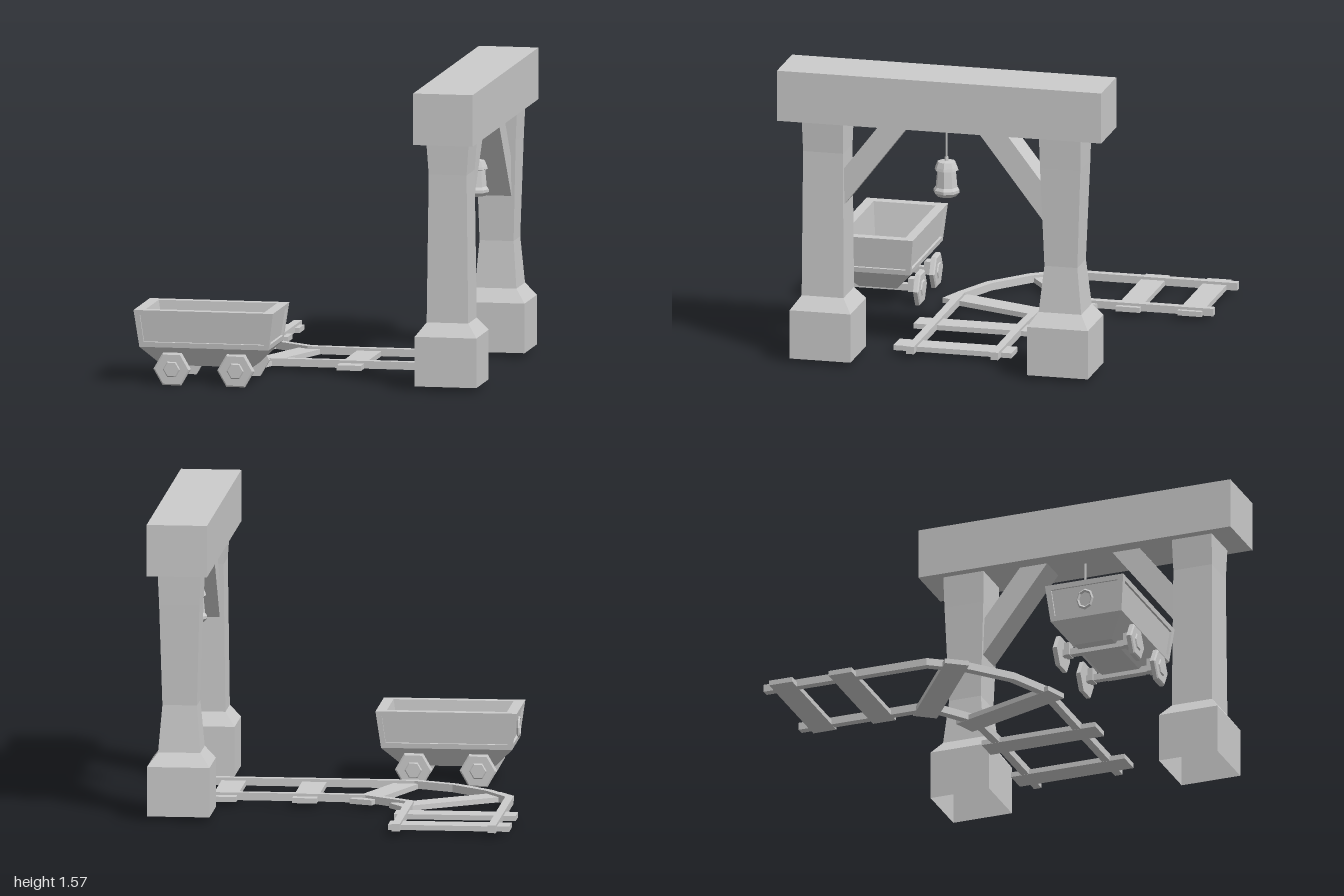
import * as THREE from 'three';

const mat = new THREE.MeshStandardMaterial({ color: 0xcccccc, flatShading: true });
const openMat = new THREE.MeshStandardMaterial({ color: 0xcccccc, flatShading: true, side: THREE.DoubleSide });

function add(parent, name, geo, x = 0, y = 0, z = 0, material = mat) {
  const m = new THREE.Mesh(geo, material);
  m.name = name;
  m.position.set(x, y, z);
  parent.add(m);
  return m;
}

const box = (w, h, d) => new THREE.BoxGeometry(w, h, d);

function quad(out, a, b, c, d) {
  for (const p of [a, b, c, a, c, d]) out.push(p.x, p.y, p.z);
}

// Quad with a framed, sunken panel
function panelQuad(out, a, b, c, d, margin, depth) {
  const u = margin / a.distanceTo(b), v = margin / a.distanceTo(d);
  const n = b.clone().sub(a).cross(d.clone().sub(a)).normalize();
  const at = (s, t) => a.clone().lerp(b, s).lerp(d.clone().lerp(c, s), t);
  const o = [a, b, c, d];
  const rim = [at(u, v), at(1 - u, v), at(1 - u, 1 - v), at(u, 1 - v)];
  const low = rim.map((p) => p.clone().addScaledVector(n, -depth));
  for (let i = 0; i < 4; i++) {
    const j = (i + 1) % 4;
    quad(out, o[i], o[j], rim[j], rim[i]);
    quad(out, rim[i], rim[j], low[j], low[i]);
  }
  quad(out, ...low);
}

// Loft through rectangles [y, x0, x1, z0, z1]; one layer may carry sunken panels
function loft(rings, { bottom = true, top = true, panelLayer = -1 } = {}) {
  const out = [];
  const loops = rings.map(([y, x0, x1, z0, z1]) =>
    [[x0, z0], [x0, z1], [x1, z1], [x1, z0]].map(([x, z]) => new THREE.Vector3(x, y, z)));
  for (let k = 0; k < loops.length - 1; k++) {
    const l = loops[k], u = loops[k + 1];
    for (let i = 0; i < 4; i++) {
      const j = (i + 1) % 4;
      if (k === panelLayer) panelQuad(out, l[i], l[j], u[j], u[i], 0.027, 0.012);
      else quad(out, l[i], l[j], u[j], u[i]);
    }
  }
  if (bottom) quad(out, ...[...loops[0]].reverse());
  if (top) quad(out, ...loops[loops.length - 1]);
  const geo = new THREE.BufferGeometry();
  geo.setAttribute('position', new THREE.Float32BufferAttribute(out, 3));
  geo.computeVertexNormals();
  return geo;
}

// Flat bar with mitred corners following a path of [x, z]
function railGeometry(path, width, height) {
  const pts = path.map(([x, z]) => new THREE.Vector2(x, -z));
  const left = [], right = [];
  pts.forEach((p, i) => {
    const a = p.clone().sub(pts[Math.max(i - 1, 0)]).normalize();
    const b = pts[Math.min(i + 1, pts.length - 1)].clone().sub(p).normalize();
    const t = a.clone().add(b).normalize();
    const n = new THREE.Vector2(-t.y, t.x);
    const ref = i === 0 ? b : a;
    const k = width / 2 / t.dot(ref);
    left.push(p.clone().addScaledVector(n, k));
    right.unshift(p.clone().addScaledVector(n, -k));
  });
  const geo = new THREE.ExtrudeGeometry(new THREE.Shape([...left, ...right]), { depth: height, bevelEnabled: false });
  return geo.rotateX(-Math.PI / 2);
}

function buildGantry() {
  const g = new THREE.Group();
  g.name = 'gantry';
  const cx = 0.793;
  add(g, 'crossBeam', box(0.315, 0.27, 1.735), cx, 1.435, 0.1325);

  // Pillars: [y, half width x, half width z], hollow underneath
  const foot = [[0.025, 0.163, 0.163], [0.285, 0.163, 0.163]];
  const shafts = [
    ['frontPillar', 0.768, [[0.355, 0.11, 0.112], [1.13, 0.1, 0.107], [1.31, 0.113, 0.111]]],
    ['backPillar', -0.502, [[0.355, 0.11, 0.114], [0.6, 0.09, 0.088], [1.13, 0.105, 0.108], [1.31, 0.113, 0.112]]],
  ];
  for (const [name, cz, shaft] of shafts) {
    const rings = [...foot, ...shaft].map(([y, hx, hz]) => [y, cx - hx, cx + hx, cz - hz, cz + hz]);
    add(g, name, loft(rings, { bottom: false }), 0, 0, 0, openMat);
  }

  // Diagonal braces, mirrored about the lantern
  for (const s of [1, -1]) {
    const brace = add(g, s > 0 ? 'frontBrace' : 'backBrace', box(0.16, 0.66, 0.12), cx, 1.125, 0.1325 + s * 0.392);
    brace.rotation.x = -s * Math.atan2(1, 1.3);
  }

  // Hanging lantern
  const lantern = new THREE.Group();
  lantern.name = 'lantern';
  lantern.position.set(cx, 0, 0.1325);
  g.add(lantern);
  add(lantern, 'lanternRope', new THREE.CylinderGeometry(0.006, 0.006, 0.22, 6), 0, 1.2, 0);
  const profile = [[0, 0.915], [0.05, 0.915], [0.069, 0.935], [0.069, 0.95], [0.058, 0.965], [0.05, 1.052],
    [0.064, 1.056], [0.06, 1.07], [0.048, 1.1], [0.012, 1.105], [0.01, 1.125], [0, 1.125]];
  add(lantern, 'lanternBody', new THREE.LatheGeometry(profile.map(([r, y]) => new THREE.Vector2(r, y)), 8));
  return g;
}

function buildTrack() {
  const g = new THREE.Group();
  g.name = 'track';
  const outer = [[-0.875, -1], [-0.875, -0.1], [-0.75, 0.08], [-0.555, 0.25], [-0.34, 0.345], [0.725, 0.345]];
  const inner = [[-0.375, -1], [-0.375, -0.285], [-0.135, -0.117], [0.12, -0.105], [0.725, -0.105]];
  add(g, 'outerRail', railGeometry(outer, 0.042, 0.04), 0, 0.026, 0);
  add(g, 'innerRail', railGeometry(inner, 0.042, 0.04), 0, 0.026, 0);

  // Sleepers: [x, z, turn, length]
  const sleepers = [
    [-0.645, -0.88, 0, 0.632], [-0.643, -0.55, 0, 0.635], [-0.577, -0.138, Math.atan2(75, 105), 0.67],
    [-0.214, 0.106, Math.atan2(112, 40), 0.63], [0.185, 0.133, Math.PI / 2, 0.632], [0.605, 0.133, Math.PI / 2, 0.632],
  ];
  for (const [x, z, turn, length] of sleepers) {
    add(g, 'sleeper', box(length, 0.027, 0.128), x, 0.0385, z).rotation.y = turn;
  }
  return g;
}

function buildCart() {
  const g = new THREE.Group();
  g.name = 'mineCart';
  const cz = 0.763;

  // Tub: bevelled belly, panelled walls, rim, inner walls and floor
  const rings = [
    [0.09, -0.72, -0.24, 0.66, 0.866],
    [0.195, -0.82, -0.137, 0.566, 0.96],
    [0.39, -0.847, -0.11, 0.545, 0.98],
    [0.39, -0.79, -0.165, 0.597, 0.928],
    [0.18, -0.755, -0.2, 0.615, 0.91],
  ];
  add(g, 'tub', loft(rings, { panelLayer: 1 }));

  // Oval ring on the end wall
  const ring = add(g, 'endRing', new THREE.TorusGeometry(0.04, 0.008, 4, 8), -0.835, 0.285, cz);
  ring.rotation.set(0, Math.PI / 2, 0);
  ring.scale.y = 1.25;

  // Axles with six-sided wheels
  const wheelProfile = [[0, -0.014], [0.097, -0.014], [0.097, 0.008], [0.088, 0.014], [0.046, 0.014],
    [0.04, 0.02], [0, 0.02]].map(([r, y]) => new THREE.Vector2(r, y));
  const wheelGeo = new THREE.LatheGeometry(wheelProfile, 6).rotateY(Math.PI / 6).rotateX(Math.PI / 2);
  for (const x of [-0.645, -0.308]) {
    add(g, 'axle', box(0.035, 0.035, 0.4), x, 0.085, cz);
    for (const s of [1, -1]) {
      const wheel = add(g, 'wheel', wheelGeo, x, 0.085, cz + s * 0.207);
      if (s < 0) wheel.rotation.y = Math.PI;
      add(g, 'axleBlock', box(0.06, 0.07, 0.03), x, 0.1, cz + s * 0.165);
    }
  }
  return g;
}

export function createModel() {
  const model = new THREE.Group();
  model.name = 'mineEntrance';
  model.add(buildGantry(), buildTrack(), buildCart());
  return model;
}
